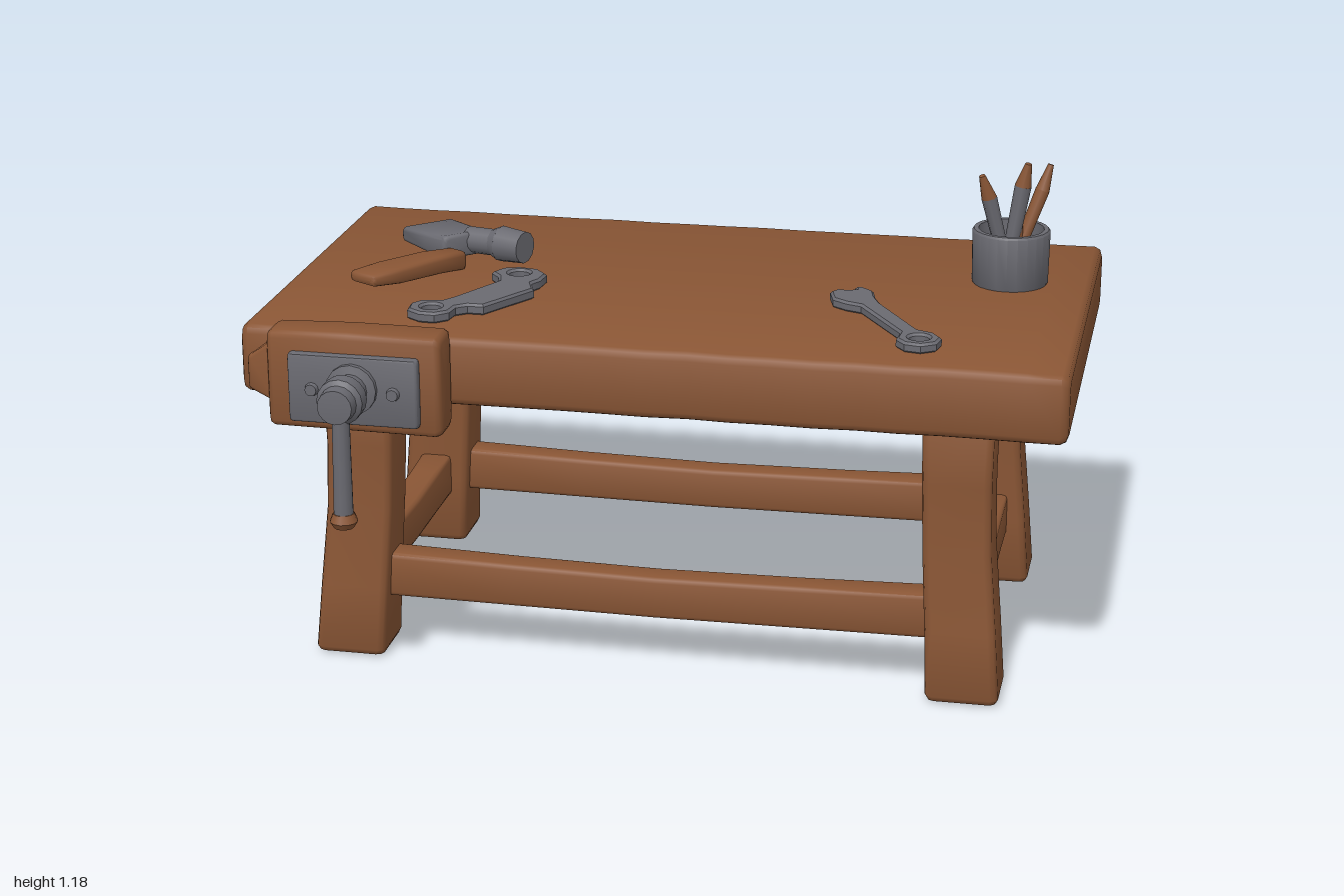
import * as THREE from 'three';
import { toCreasedNormals } from 'three/addons/utils/BufferGeometryUtils.js';

const wood = new THREE.MeshStandardMaterial({ color: 0x8a5635 });
wood.name = 'wood';
const metal = new THREE.MeshStandardMaterial({ color: 0x6a6a71 });
metal.name = 'metal';

// Soft-edged beam along +y from sections [t, centreA, centreB, widthA, widthB]
function loft(sections, r) {
  const n = sections.length, first = sections[0], last = sections[n - 1];
  const inset = (s, dt, k) => [s[0] + dt, s[1], s[2], s[3] - 2 * k, s[4] - 2 * k];
  const rings = [
    inset(first, 0, r), inset(first, 0.3 * r, 0.3 * r), inset(first, r, 0),
    ...sections.slice(1, -1),
    inset(last, -r, 0), inset(last, -0.3 * r, 0.3 * r), inset(last, 0, r),
  ];
  const pos = [], index = [], m = 12;
  for (const [t, a, b, w, d] of rings) {
    for (let i = 0; i < m; i++) {
      const q = Math.floor(i / 3), ang = (q + (i % 3) / 2) * Math.PI / 2;
      const sx = q === 0 || q === 3 ? 1 : -1, sz = q < 2 ? 1 : -1;
      pos.push(a + sx * (w / 2 - r) + r * Math.cos(ang), t, b + sz * (d / 2 - r) + r * Math.sin(ang));
    }
  }
  for (let j = 0; j < rings.length - 1; j++) {
    for (let i = 0; i < m; i++) {
      const p = j * m + i, q = j * m + (i + 1) % m;
      index.push(p, p + m, q, q, p + m, q + m);
    }
  }
  const c0 = rings.length * m, top = c0 - m;
  pos.push(first[1], first[0], first[2], last[1], last[0], last[2]);
  for (let i = 0; i < m; i++) {
    const k = (i + 1) % m;
    index.push(c0, i, k, c0 + 1, top + k, top + i);
  }
  const g = new THREE.BufferGeometry();
  g.setAttribute('position', new THREE.Float32BufferAttribute(pos, 3));
  g.setIndex(index);
  return toCreasedNormals(g, 0.9);
}

// The same beam laid along +x: section is [x, y, z, height, depth]
const loftX = (sections, r) =>
  loft(sections.map(([t, y, z, h, d]) => [t, -y, z, h, d]), r).rotateZ(-Math.PI / 2);

// Flat piece cut from an [x, z] outline with round holes [x, z, radius]
function plate(outline, holes, y0, y1) {
  const bevel = 0.006;
  const shape = new THREE.Shape(outline.map(([x, z]) => new THREE.Vector2(x, z)));
  for (const [x, z, r] of holes) shape.holes.push(new THREE.Path().absarc(x, z, r, 0, Math.PI * 2, true));
  const g = new THREE.ExtrudeGeometry(shape, {
    depth: y1 - y0 - 2 * bevel, bevelThickness: bevel, bevelSize: bevel,
    bevelOffset: -bevel, bevelSegments: 1, curveSegments: 8,
  });
  return toCreasedNormals(g.rotateX(Math.PI / 2).translate(0, y1 - bevel, 0), 0.6);
}

export function createModel() {
  const model = new THREE.Group();
  model.name = 'workbench';
  const add = (name, geometry, material, parent = model) => {
    const mesh = new THREE.Mesh(geometry, material);
    mesh.name = name;
    parent.add(mesh);
    return mesh;
  };
  const group = (name) => {
    const g = new THREE.Group();
    g.name = name;
    model.add(g);
    return g;
  };
  // Round bar between two points
  const rod = (name, a, b, r0, r1, material, parent, sides = 12) => {
    const p = new THREE.Vector3(...a), dir = new THREE.Vector3(...b).sub(p);
    const mesh = add(name, new THREE.CylinderGeometry(r1, r0, dir.length(), sides), material, parent);
    mesh.position.copy(p).addScaledVector(dir, 0.5);
    mesh.quaternion.setFromUnitVectors(new THREE.Vector3(0, 1, 0), dir.normalize());
    return mesh;
  };

  // Thick plank top with a slightly uneven hewn edge
  let seed = 7;
  const rand = () => (seed = (seed * 16807) % 2147483647) / 2147483647 - 0.5;
  const top = [];
  for (let i = 0; i <= 20; i++) {
    top.push([-1 + i * 0.1, 0.785, -0.13 + rand() * 0.006, 0.17, 1.096 + rand() * 0.008]);
  }
  add('benchTop', loftX(top, 0.02), wood);

  // Four waisted legs with flared feet
  const zMid = -0.11;
  for (const sx of [-1, 1]) {
    for (const sz of [-1, 1]) {
      const legSections = [
        [0, 0.767, 0.392, 0.178, 0.172], [0.18, 0.757, 0.383, 0.172, 0.163],
        [0.38, 0.742, 0.372, 0.166, 0.152], [0.55, 0.737, 0.367, 0.167, 0.156],
        [0.73, 0.737, 0.368, 0.172, 0.168],
      ].map(([y, x, z, w, d]) => [y, sx * x, zMid + sz * z, w, d]);
      add('leg', loft(legSections, 0.018), wood);
    }
  }

  // Stretcher rails, sagging a little in the middle
  const rail = (half) => loftX([
    [-half, 0.202, 0, 0.115, 0.085], [-half / 2, 0.196, 0, 0.11, 0.08], [0, 0.192, 0, 0.107, 0.08],
    [half / 2, 0.196, 0, 0.11, 0.08], [half, 0.202, 0, 0.115, 0.085],
  ], 0.012);
  for (const s of [-1, 1]) {
    add('longRail', rail(0.72), wood).position.z = zMid + s * 0.38;
    const side = add('sideRail', rail(0.36), wood);
    side.position.set(s * 0.755, -0.004, zMid);
    side.rotation.y = Math.PI / 2;
  }

  // Front vise
  const vise = group('vise');
  add('viseJaw', loftX([
    [-0.9, 0.775, 0.465, 0.24, 0.108], [-0.7, 0.777, 0.465, 0.246, 0.112], [-0.47, 0.775, 0.465, 0.248, 0.108],
  ], 0.016), wood, vise);
  add('viseJawSplinter', loftX([[-0.96, 0.775, 0.462, 0.09, 0.04], [-0.88, 0.79, 0.462, 0.15, 0.095]], 0.01), wood, vise);
  add('visePlate', loftX([[-0.84, 0.765, 0.527, 0.172, 0.03], [-0.52, 0.765, 0.527, 0.172, 0.03]], 0.008), metal, vise);
  for (const x of [-0.78, -0.58]) rod('plateBolt', [x, 0.765, 0.53], [x, 0.765, 0.553], 0.02, 0.014, metal, vise);
  const hub = [[0, 0], [0.062, 0], [0.062, 0.03], [0.042, 0.035], [0.042, 0.075], [0.056, 0.08],
    [0.056, 0.118], [0.045, 0.128], [0.042, 0.158], [0, 0.162]].map((p) => new THREE.Vector2(...p));
  const hubMesh = add('viseScrew', toCreasedNormals(new THREE.LatheGeometry(hub, 16), 0.6), metal, vise);
  hubMesh.rotation.x = Math.PI / 2;
  hubMesh.position.set(-0.68, 0.773, 0.525);
  rod('viseHandle', [-0.682, 0.48, 0.636], [-0.68, 0.76, 0.636], 0.024, 0.021, metal, vise);
  rod('viseHandleKnob', [-0.682, 0.458, 0.636], [-0.682, 0.474, 0.636], 0.024, 0.034, wood, vise);
  rod('viseHandleKnob', [-0.682, 0.474, 0.636], [-0.682, 0.494, 0.636], 0.034, 0.026, wood, vise);

  // Hammer lying on the bench: broad blade, round poll, wooden grip
  const hammer = group('hammer');
  const blade = add('hammerBlade', loftX([
    [0, 0, 0, 0.04, 0.15], [0.12, 0.005, 0, 0.05, 0.142], [0.215, 0.01, 0, 0.062, 0.13],
  ], 0.01), metal, hammer);
  blade.position.set(-0.746, 0.905, -0.358);
  blade.rotation.y = Math.atan2(-0.153, 0.145);
  rod('hammerNeck', [-0.6, -0.245 + 1.165, -0.24], [-0.5, 0.922, -0.212], 0.034, 0.034, metal, hammer);
  rod('hammerPoll', [-0.53, 0.922, -0.222], [-0.505, 0.922, -0.213], 0.034, 0.046, metal, hammer);
  rod('hammerPoll', [-0.505, 0.922, -0.213], [-0.438, 0.922, -0.187], 0.046, 0.041, metal, hammer);
  const grip = add('hammerGrip', loftX([
    [0, -0.01, 0, 0.05, 0.06], [0.1, 0, 0, 0.045, 0.085], [0.24, 0.005, 0.004, 0.04, 0.098], [0.335, 0.01, 0.004, 0.03, 0.09],
  ], 0.01), wood, hammer);
  grip.position.set(-0.605, 0.903, -0.16);
  grip.rotation.y = Math.atan2(-0.275, -0.16);

  // Two wrenches
  add('ringWrench', plate([
    [-0.49, -0.05], [-0.47, -0.09], [-0.43, -0.105], [-0.38, -0.095], [-0.35, -0.06], [-0.355, -0.01], [-0.37, 0.02],
    [-0.352, 0.07], [-0.44, 0.225], [-0.48, 0.225], [-0.505, 0.245], [-0.51, 0.285], [-0.54, 0.312], [-0.58, 0.31],
    [-0.615, 0.285], [-0.62, 0.24], [-0.6, 0.21], [-0.55, 0.2], [-0.53, 0.17], [-0.455, 0.02], [-0.465, -0.02],
  ], [[-0.42, -0.055, 0.027], [-0.563, 0.256, 0.025]], 0.868, 0.897), metal);
  add('openWrench', plate([
    [0.37, -0.06], [0.385, -0.085], [0.41, -0.08], [0.43, -0.09], [0.425, -0.108], [0.445, -0.112], [0.475, -0.085],
    [0.485, -0.04], [0.505, 0.01], [0.62, 0.198], [0.66, 0.215], [0.683, 0.25], [0.675, 0.29], [0.64, 0.313],
    [0.6, 0.305], [0.577, 0.275], [0.58, 0.225], [0.46, 0.035], [0.42, 0.02], [0.385, -0.005],
  ], [[0.63, 0.258, 0.025]], 0.868, 0.895), metal);

  // Tool pot with pencils and a chisel
  const pot = group('toolPot');
  const potProfile = [[0, 0], [0.093, 0], [0.096, 0.006], [0.098, 0.136], [0.094, 0.142], [0.082, 0.142],
    [0.08, 0.02], [0, 0.02]].map((p) => new THREE.Vector2(...p));
  add('pot', toCreasedNormals(new THREE.LatheGeometry(potProfile, 24), 0.6), metal, pot)
    .position.set(0.79, 0.868, -0.308);
  const tool = (name, foot, mid, tip, r, lower, upper) => {
    rod(name + 'Shaft', foot, mid, r * 0.8, r, lower, pot, 8);
    rod(name + 'Tip', mid, tip, r, r * 0.4, upper, pot, 8);
  };
  tool('brush', [0.78, 0.9, -0.315], [0.733, 1.09, -0.29], [0.715, 1.15, -0.275], 0.02, metal, wood);
  tool('chisel', [0.78, 0.9, -0.3], [0.815, 1.12, -0.305], [0.827, 1.18, -0.3], 0.021, metal, wood);
  tool('pencil', [0.79, 0.9, -0.3], [0.86, 1.1, -0.35], [0.878, 1.165, -0.362], 0.018, wood, wood);
  tool('stub', [0.81, 0.9, -0.31], [0.8, 1.05, -0.31], [0.798, 1.09, -0.305], 0.016, wood, metal);
  return model;
}
